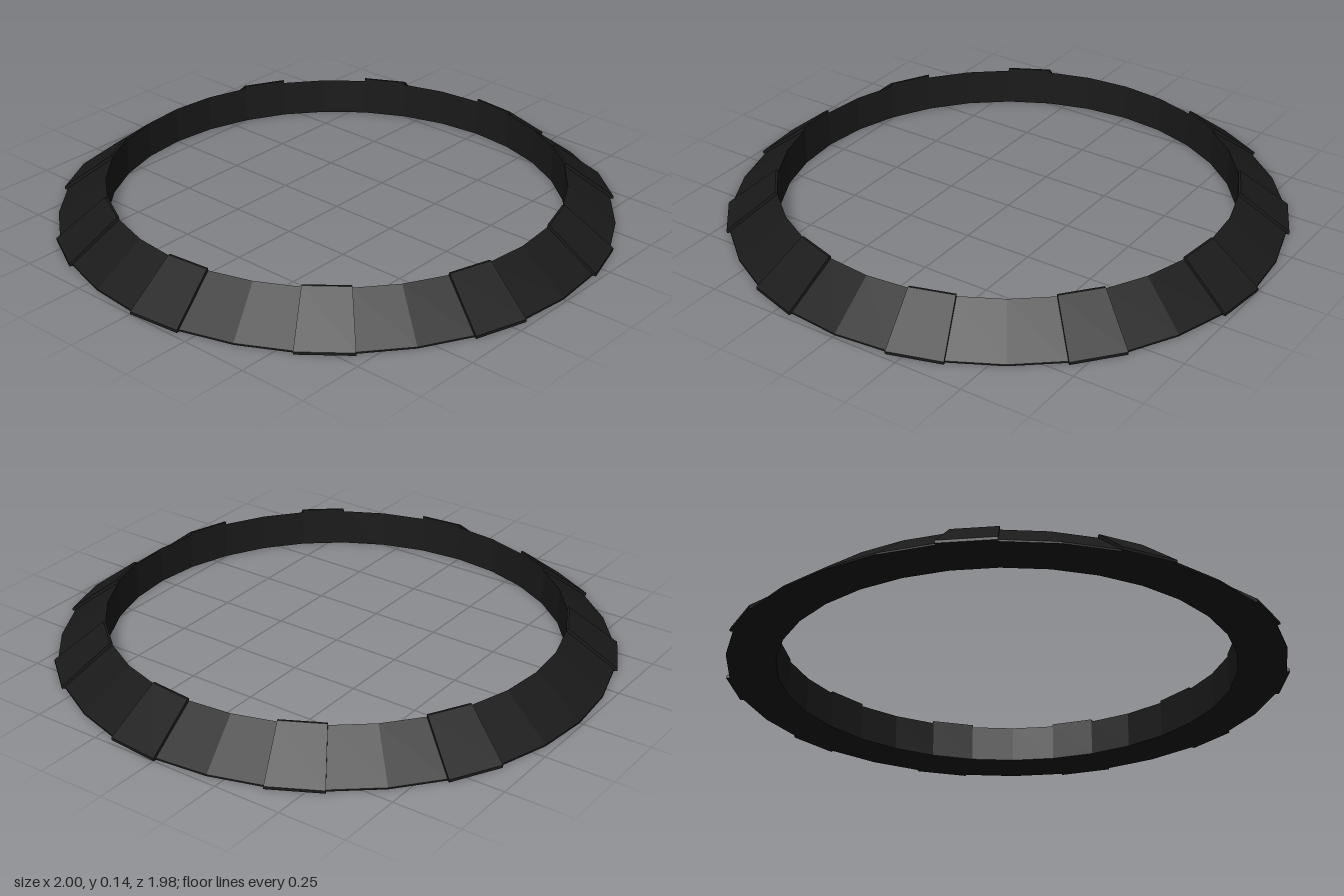
import * as THREE from 'three';

const SIDES = 32;
const STEP = (Math.PI * 2) / SIDES;
const points = (list) => list.map(([r, y]) => new THREE.Vector2(r, y));

export function createModel() {
  const model = new THREE.Group();
  model.name = 'bezelRing';
  const material = new THREE.MeshStandardMaterial({
    color: 0x1a1a1a, flatShading: true, side: THREE.DoubleSide,
  });

  // Ring: upright inner wall, flat base, sloping outer face
  const ringProfile = points([
    [0.815, 0], [0.988, 0], [0.988, 0.006], [0.815, 0.136], [0.815, 0],
  ]);
  const ring = new THREE.Mesh(new THREE.LatheGeometry(ringProfile, SIDES), material);
  ring.name = 'ring';
  model.add(ring);

  // Raised plate: thin cover over one facet of the slope, closed at both ends
  const plateProfile = points([
    [0.988, 0], [1, 0], [1, 0.01], [0.823, 0.145], [0.815, 0.145], [0.815, 0.136],
  ]);
  const plateBody = new THREE.LatheGeometry(plateProfile, 1, 0, STEP);
  const plateEnd = new THREE.ShapeGeometry(new THREE.Shape(plateProfile));

  function addPlate(index, name) {
    const plate = new THREE.Group();
    plate.name = name;
    plate.add(new THREE.Mesh(plateBody, material));
    for (const angle of [0, STEP]) {
      const end = new THREE.Mesh(plateEnd, material);
      end.rotation.y = angle - Math.PI / 2;
      plate.add(end);
    }
    plate.children.forEach((part, i) => { part.name = i ? 'plateEnd' : 'plateBody'; });
    plate.rotation.y = index * STEP;
    model.add(plate);
  }

  // Five plates on each side, every third facet from front to back
  for (let i = 0; i < 5; i++) {
    const facet = 1 + i * 3;
    addPlate(facet, `leftPlate${i + 1}`);
    addPlate(SIDES - 1 - facet, `rightPlate${i + 1}`);
  }
  return model;
}
